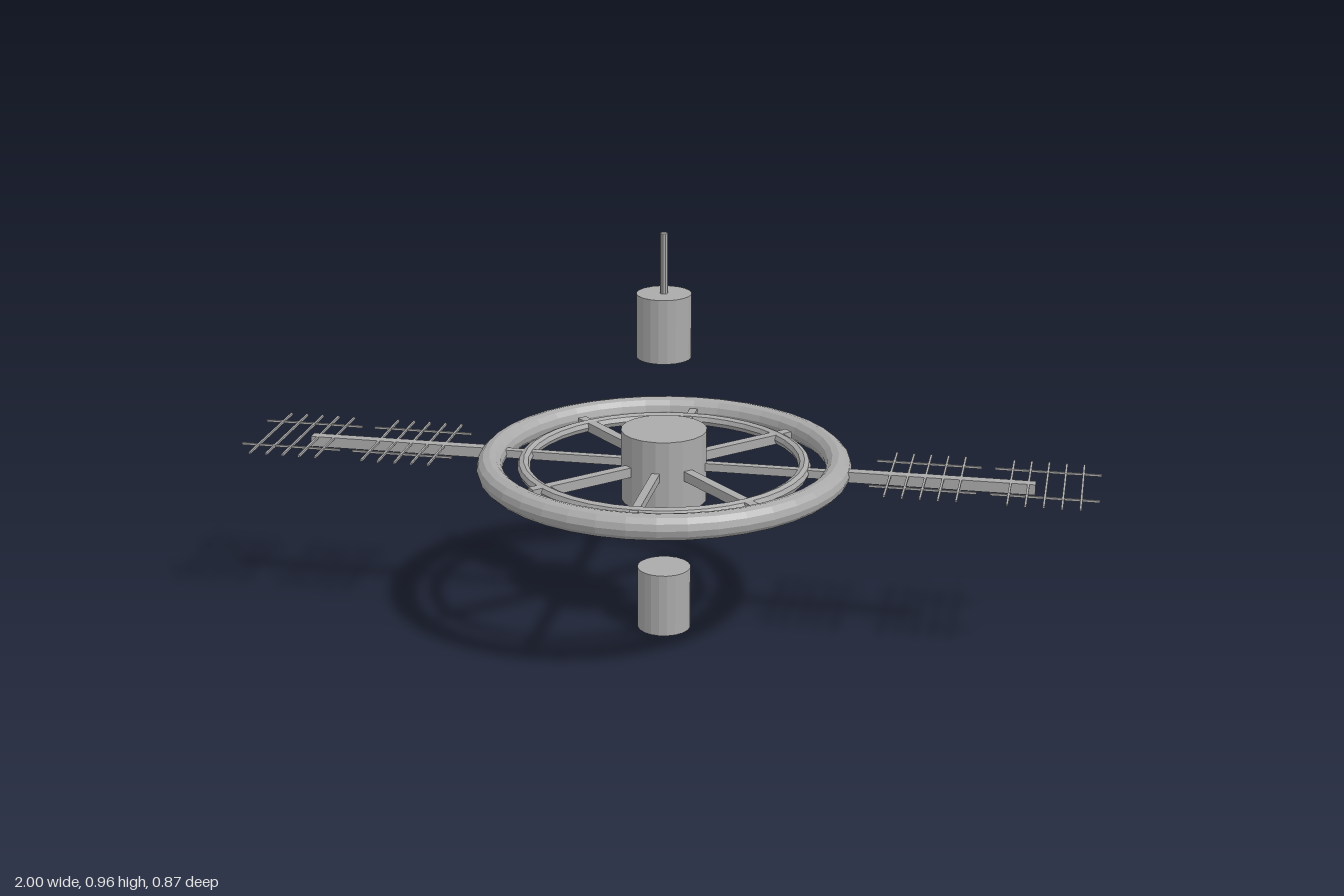
import * as THREE from 'three';

export function createModel() {
  const model = new THREE.Group();
  const grey = new THREE.MeshStandardMaterial({ color: 0xaaaaaa });
  grey.name = 'hull grey';
  grey.flatShading = true;
  const midY = 0.41;

  const add = (name, geometry, x, y, z, parent = model) => {
    const mesh = new THREE.Mesh(geometry, grey);
    mesh.name = name;
    mesh.position.set(x, y, z);
    parent.add(mesh);
    return mesh;
  };
  // Upright cylinder between two heights
  const drum = (name, radius, y0, y1, sides = 20) =>
    add(name, new THREE.CylinderGeometry(radius, radius, y1 - y0, sides), 0, (y0 + y1) / 2, 0);

  // Central axis: hub, detached modules and mast
  drum('hub', 0.1, 0.325, 0.495);
  drum('lowerModule', 0.063, 0, 0.152);
  drum('upperModule', 0.063, 0.67, 0.82);
  drum('antennaMast', 0.009, 0.82, 0.96, 10);

  // Habitat rings
  const ring = (name, radius, tube, sides) =>
    add(name, new THREE.TorusGeometry(radius, tube, sides, 40).rotateX(Math.PI / 2), 0, midY, 0);
  ring('outerRing', 0.405, 0.03, 12);
  ring('innerRing', 0.326, 0.015, 8);

  // Spokes: straight ones reach the outer ring, diagonal ones stop past the inner ring
  for (let i = 0; i < 8; i++) {
    const diagonal = i % 2 === 1;
    const end = diagonal ? 0.36 : 0.4;
    const width = diagonal ? 0.023 : 0.019;
    const geometry = new THREE.BoxGeometry(end - 0.08, width, width);
    geometry.translate((end + 0.08) / 2, 0, 0);
    add('spoke', geometry, 0, midY, 0).rotation.y = i * Math.PI / 4;
  }

  // Arms with open lattice panels on both sides
  const wire = 0.005;
  for (const side of [1, -1]) {
    add('panelArm', new THREE.BoxGeometry(0.435, 0.025, 0.025), side * 0.6375, midY, 0);
    for (const centre of [0.607, 0.879]) {
      const panel = new THREE.Group();
      panel.name = 'latticePanel';
      panel.position.set(side * centre, 0.42, 0);
      model.add(panel);
      for (const z of [-0.085, 0.085]) {
        add('panelRail', new THREE.BoxGeometry(0.242, wire, wire), 0, 0, z, panel);
      }
      for (let i = -2; i <= 2; i++) {
        add('panelRib', new THREE.BoxGeometry(wire, wire, 0.292), i * 0.04, 0, 0, panel);
      }
    }
  }
  return model;
}
